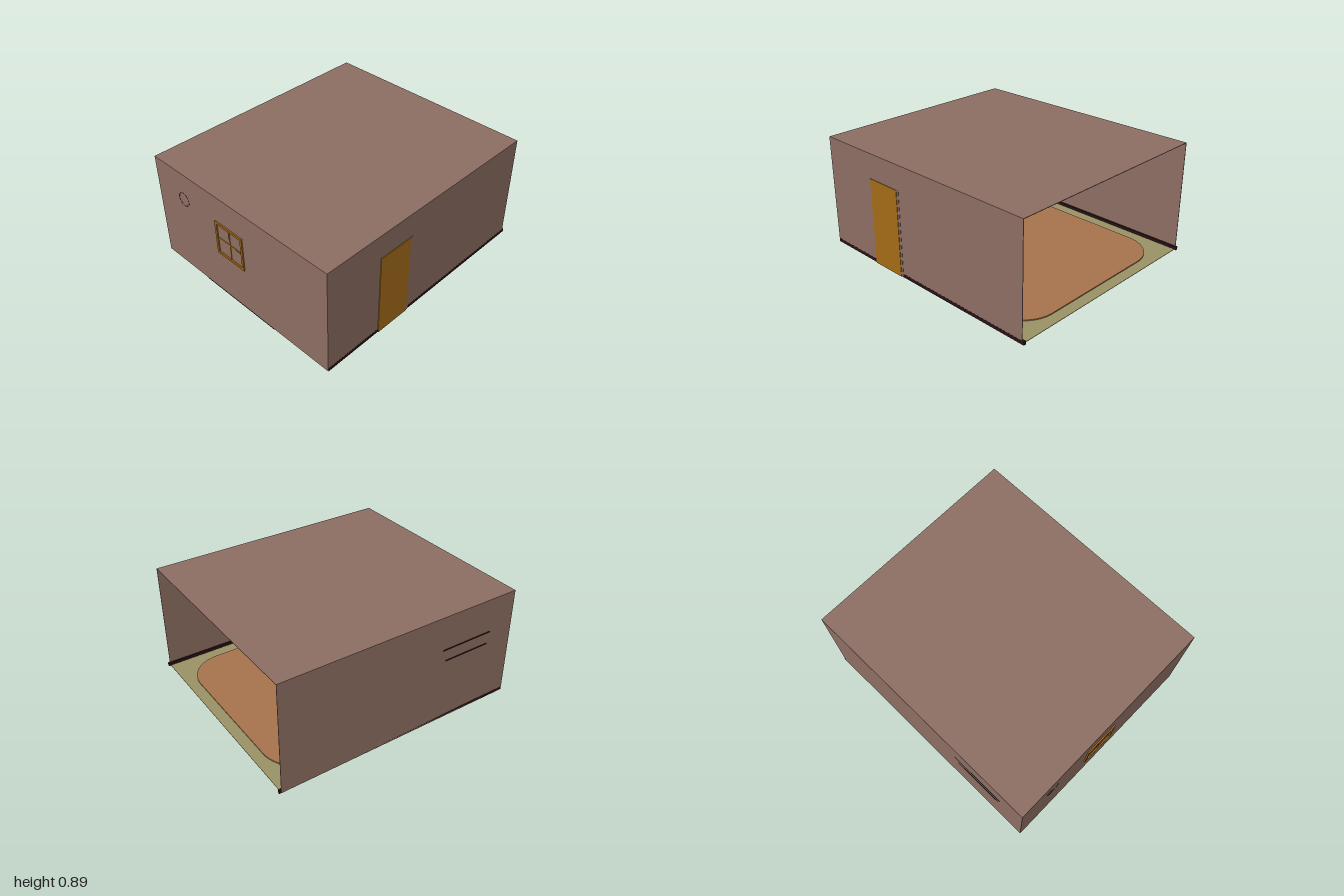
import * as THREE from 'three';

const mat = (color) => new THREE.MeshStandardMaterial({ color, side: THREE.DoubleSide });

export function createModel() {
  const room = new THREE.Group();
  room.name = 'room';
  const wall = mat(0x8d6e63), floorMat = mat(0x9b9468), wood = mat(0xa56c18);
  const trim = mat(0x2a1214), rugMat = mat(0xa8734c), black = mat(0x0a0a0a);

  // Box given by its minimum and maximum corners
  function block(name, material, [x0, y0, z0], [x1, y1, z1], parent = room) {
    const mesh = new THREE.Mesh(new THREE.BoxGeometry(x1 - x0, y1 - y0, z1 - z0), material);
    mesh.position.set((x0 + x1) / 2, (y0 + y1) / 2, (z0 + z1) / 2);
    mesh.name = name;
    parent.add(mesh);
    return mesh;
  }

  // Thin shell, open at the back
  const X = 0.87, Y0 = 0.02, Y1 = 0.895, ZF = 0.99, ZB = -0.985, T = 0.004;
  block('floor', floorMat, [-X, Y0 - T, ZB], [X, Y0, ZF]);
  block('ceiling', wall, [-X, Y1 - T, ZB], [X, Y1, ZF]);
  block('frontWall', wall, [-X, Y0, ZF - T], [X, Y1, ZF]);
  block('leftWall', wall, [X - T, Y0, ZB], [X, Y1, ZF]);
  block('rightWall', wall, [-X, Y0, ZB], [-X + T, Y1, ZF]);

  // Skirting boards, broken at the door
  const top = 0.043, d = 0.018;
  block('rightSkirting', trim, [-X, Y0 - T, -1], [-X + d, top, ZF - T]);
  block('leftSkirtingBack', trim, [X - d, Y0 - T, -1], [X + 0.001, top, 0.213]);
  block('leftSkirtingFront', trim, [X - d, Y0 - T, 0.5], [X + 0.001, top, ZF - T]);
  block('frontSkirting', trim, [-X, Y0, ZF - d], [X, top, ZF - T]);

  // Door with a narrow jamb
  block('door', wood, [X - 0.012, 0.014, 0.21], [X + 0.005, 0.7, 0.505]);
  block('doorJamb', wall, [X - 0.012, Y0, 0.19], [X + 0.002, 0.7, 0.21]);

  // Four-pane window
  const win = new THREE.Group();
  win.name = 'window';
  room.add(win);
  const wx0 = -0.213, wx1 = 0.07, wy0 = 0.395, wy1 = 0.68, w = 0.018, z0 = 0.975, z1 = 1.0;
  for (const y of [wy0, wy1 - w]) block('windowRail', wood, [wx0, y, z0], [wx1, y + w, z1], win);
  for (const x of [wx0, wx1 - w]) block('windowStile', wood, [x, wy0 + w, z0], [x + w, wy1 - w, z1], win);
  const cx = (wx0 + wx1) / 2, cy = (wy0 + wy1) / 2;
  block('horizontalBar', wood, [wx0 + w, cy - 0.006, z0], [wx1 - w, cy + 0.006, z1 - 0.006], win);
  block('verticalBar', wood, [cx - 0.006, wy0 + w, z0], [cx + 0.006, wy1 - w, z1 - 0.006], win);

  // Round wall clock inside, its rim just showing outside
  const clock = new THREE.Group();
  clock.name = 'wallClock';
  clock.position.set(-0.565, 0.667, ZF - 0.001);
  const rim = new THREE.Mesh(new THREE.TorusGeometry(0.055, 0.0025, 6, 40), trim);
  rim.name = 'clockRim';
  const face = new THREE.Mesh(new THREE.CylinderGeometry(0.054, 0.054, 0.012, 40), wood);
  face.rotation.x = Math.PI / 2;
  face.position.z = -0.01;
  face.name = 'clockFace';
  clock.add(rim, face);
  room.add(clock);

  // Two wall shelves
  block('upperShelf', trim, [-X - 0.003, 0.617, 0.34], [-X + 0.1, 0.627, 0.78]);
  block('lowerShelf', trim, [-X - 0.003, 0.522, 0.37], [-X + 0.1, 0.532, 0.76]);

  // Low bench under the window, reaching through the floor
  block('bench', black, [-0.41, 0, 0.69], [0.33, 0.15, ZF - T - 0.002]);

  // Rug with rounded corners
  const rx = 0.755, za = -0.9, zb = 0.67, r = 0.27;
  const s = new THREE.Shape();
  s.absarc(rx - r, zb - r, r, 0, Math.PI / 2);
  s.absarc(-rx + r, zb - r, r, Math.PI / 2, Math.PI);
  s.absarc(-rx + r, za + r, r, Math.PI, Math.PI * 1.5);
  s.absarc(rx - r, za + r, r, Math.PI * 1.5, Math.PI * 2);
  const rug = new THREE.Mesh(
    new THREE.ExtrudeGeometry(s, { depth: 0.008, bevelEnabled: false, curveSegments: 12 }), rugMat);
  rug.rotation.x = Math.PI / 2;
  rug.position.y = Y0 + 0.009;
  rug.name = 'rug';
  room.add(rug);

  return room;
}
